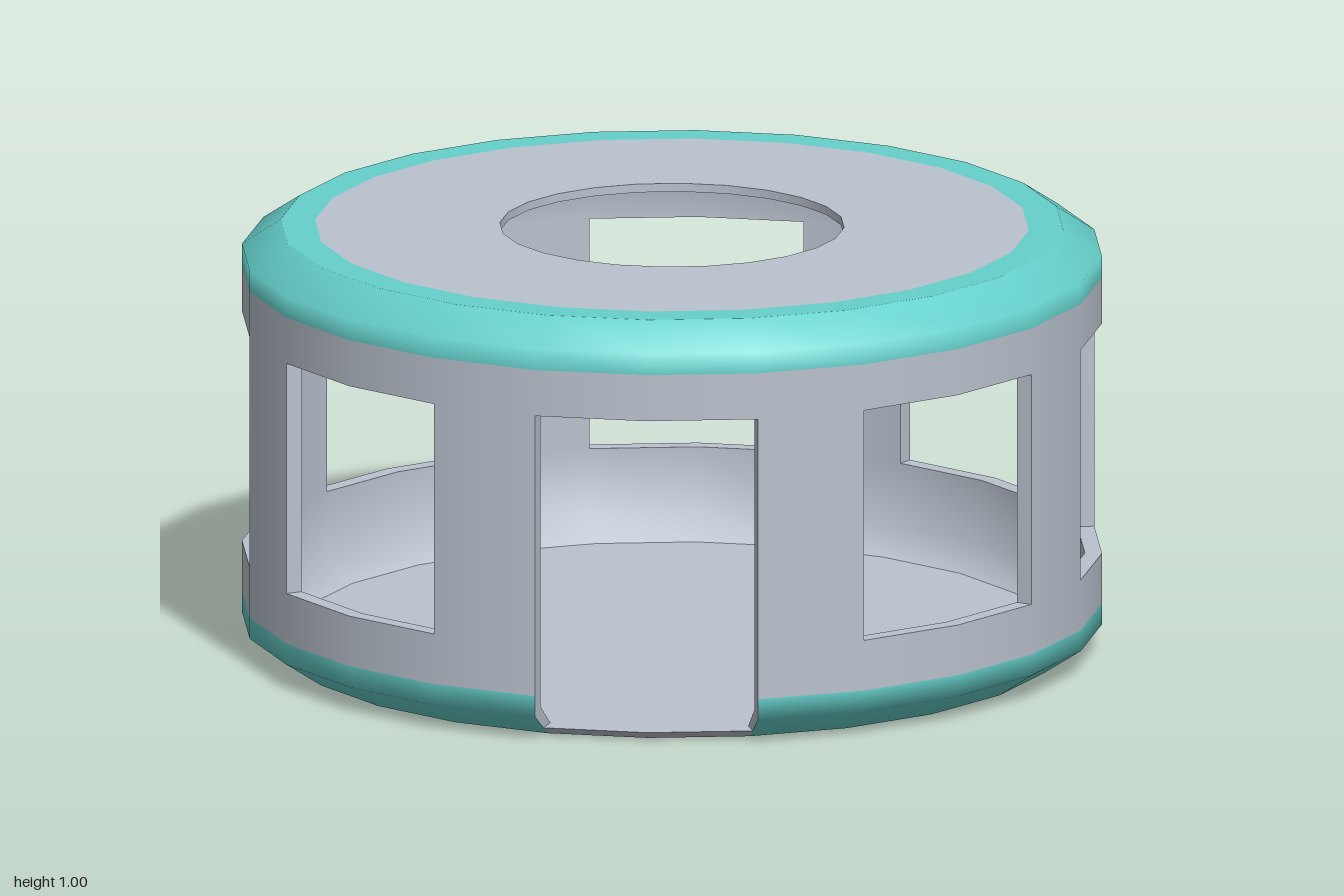
import * as THREE from 'three';

const STEP = Math.PI / 12; // 24-sided drum

export function createModel() {
  const root = new THREE.Group();
  const grey = new THREE.MeshStandardMaterial({ color: 0xbac2ce, side: THREE.DoubleSide });
  grey.name = 'pale grey';
  const teal = new THREE.MeshStandardMaterial({ color: 0x66d0cb });
  teal.name = 'teal';

  const add = (name, geo, mat, parent = root) => {
    const mesh = new THREE.Mesh(geo, mat);
    mesh.name = name;
    parent.add(mesh);
    return mesh;
  };
  // Surface of revolution over part of the drum; phi 0 is the front
  const band = (name, mat, profile, start = 0, count = 24, parent = root) =>
    add(name, new THREE.LatheGeometry(profile.map(p => new THREE.Vector2(...p)),
      count, start * STEP, count * STEP), mat, parent);
  // Flat radial section closing a cut end
  const section = (name, profile, at, parent = root) => {
    const shape = new THREE.Shape(profile.map(p => new THREE.Vector2(...p)));
    add(name, new THREE.ShapeGeometry(shape), grey, parent).rotation.y = at * STEP - Math.PI / 2;
  };

  const R = 1, RI = 0.96, SILL = 0.23, HEAD = 0.78, T = 0.02;

  // Base and floor
  band('baseUnderside', grey, [[0, 0], [0.83, 0]]);
  band('baseUndersideRim', teal, [[0.83, 0], [0.91, 0]]);
  band('floor', grey, [[0.89, T], [0, T]]);

  // Lower wall, open at the front doorway
  band('lowerTrim', teal, [[0.91, 0], [R, 0.06], [R, 0.11]], 1, 22);
  band('lowerWall', grey, [[R, 0.11], [R, SILL]], 1, 22);
  band('windowSills', grey, [[R, SILL], [RI, SILL]], 1, 22);
  band('lowerInnerWall', grey, [[RI, SILL], [RI, 0.075], [0.89, T]], 1, 22);

  // Doorway threshold and cut ends
  band('thresholdEdge', grey, [[0.91, 0], [0.94, T]], -1, 2);
  band('thresholdTop', grey, [[0.94, T], [0.89, T]], -1, 2);
  for (const side of [-1, 1]) {
    section('doorJamb', [[0.89, T], [0.94, T], [R, 0.06], [R, SILL], [RI, SILL], [RI, 0.075]], side);
  }

  // Eight pillars between the windows
  for (let i = 0; i < 8; i++) {
    const start = 1 + i * 3;
    const pillar = new THREE.Group();
    pillar.name = 'pillar';
    root.add(pillar);
    band('pillarOuter', grey, [[R, SILL], [R, HEAD]], start, 1, pillar);
    band('pillarInner', grey, [[RI, HEAD], [RI, SILL]], start, 1, pillar);
    for (const end of [start, start + 1]) {
      section('pillarJamb', [[RI, SILL], [R, SILL], [R, HEAD], [RI, HEAD]], end, pillar);
    }
  }

  // Upper wall
  band('windowHeads', grey, [[RI, HEAD], [R, HEAD]]);
  band('upperWall', grey, [[R, HEAD], [R, 0.89]]);
  band('upperTrim', teal, [[R, 0.89], [R, 0.94], [0.91, 1]]);
  band('upperInnerWall', grey, [[0.89, 1 - T], [RI, 0.925], [RI, HEAD]]);

  // Roof with a round opening
  band('roofRim', teal, [[0.91, 1], [0.83, 1]]);
  band('roof', grey, [[0.83, 1], [0.4, 1]]);
  band('roofOpeningEdge', grey, [[0.4, 1], [0.4, 1 - T]]);
  band('ceiling', grey, [[0.4, 1 - T], [0.89, 1 - T]]);

  return root;
}
